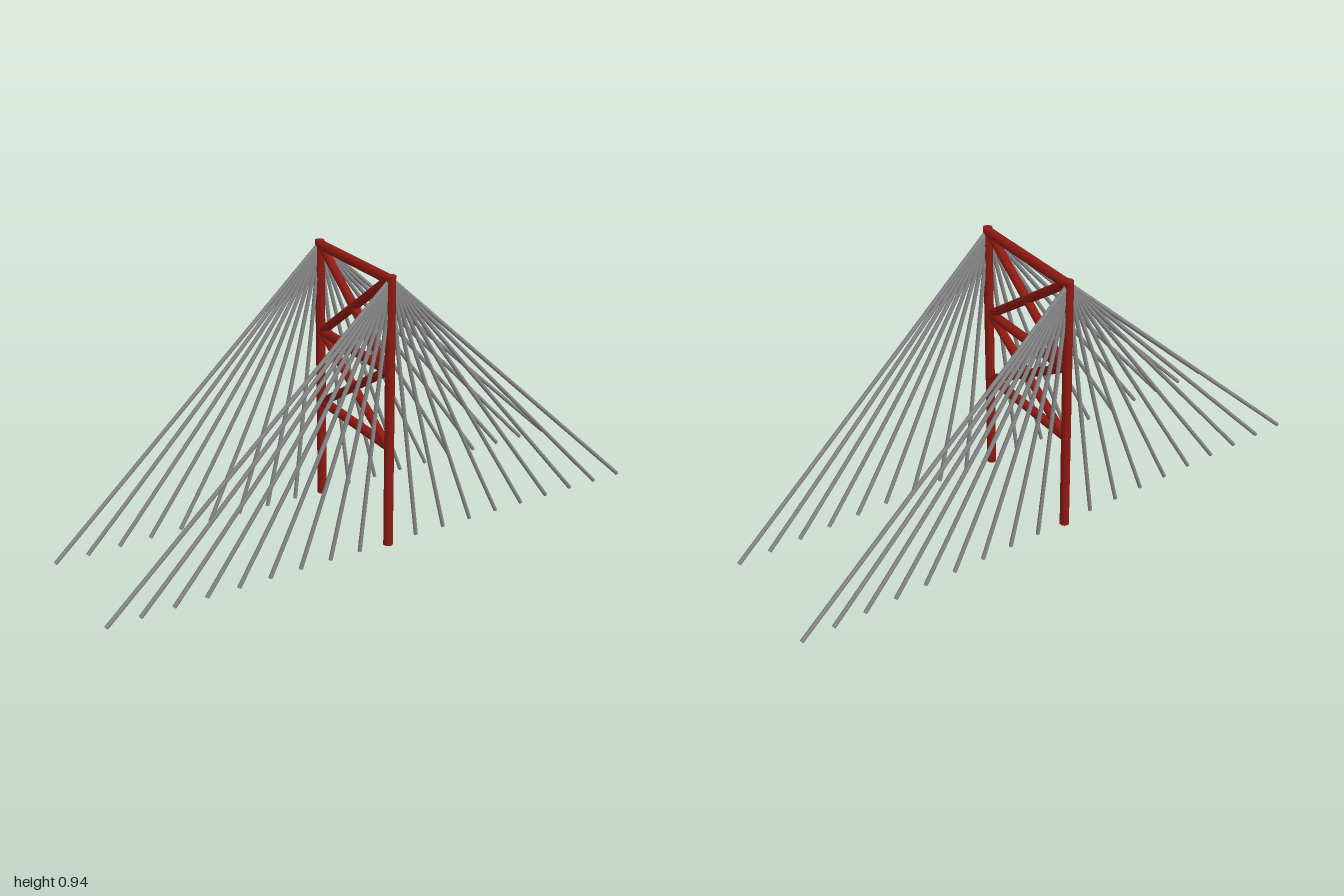
import * as THREE from 'three';

const HALF = 0.219;                     // post distance from the centre line
const TOP = 0.935;                      // post height
const BEAMS = [0.357, 0.617, 0.92];     // cross beam heights
const R = 0.0165;                       // post and beam radius
const CABLE_R = 0.007;
const CABLES = 9;                       // cables per fan

const red = new THREE.MeshStandardMaterial({ color: 0x8e1a12 });
const steel = new THREE.MeshStandardMaterial({ color: 0x8a8a8a });
const UP = new THREE.Vector3(0, 1, 0);

// Round bar between two points
function bar(name, a, b, radius, sides, material) {
  const dir = new THREE.Vector3().subVectors(b, a);
  const mesh = new THREE.Mesh(new THREE.CylinderGeometry(radius, radius, dir.length(), sides), material);
  mesh.name = name;
  mesh.position.addVectors(a, b).multiplyScalar(0.5);
  mesh.quaternion.setFromUnitVectors(UP, dir.normalize());
  return mesh;
}

const v = (x, y, z) => new THREE.Vector3(x, y, z);

export function createModel() {
  const model = new THREE.Group();
  model.name = 'cableStayedTower';
  const tower = new THREE.Group();
  tower.name = 'tower';
  model.add(tower);

  // Posts, with a fan of stay cables to each side
  for (const side of [1, -1]) {
    const z = side * HALF;
    tower.add(bar(side > 0 ? 'frontPost' : 'backPost', v(0, 0, z), v(0, TOP, z), R, 10, red));

    const fan = new THREE.Group();
    fan.name = side > 0 ? 'frontCables' : 'backCables';
    for (const dir of [1, -1]) {
      for (let i = 1; i <= CABLES; i++) {
        const x = dir * 0.993 * i / CABLES;
        fan.add(bar('stayCable', v(x, 0.005, z), v(0, 0.925, z), CABLE_R, 8, steel));
      }
    }
    model.add(fan);
  }

  // Horizontal beams
  for (const y of BEAMS) {
    tower.add(bar('crossBeam', v(0, y, HALF), v(0, y, -HALF), R, 10, red));
  }

  // Crossed braces between neighbouring beams
  for (let i = 0; i < BEAMS.length - 1; i++) {
    for (const side of [1, -1]) {
      const z = side * 0.207;
      tower.add(bar('diagonalBrace', v(0, BEAMS[i], z), v(0, BEAMS[i + 1], -z), 0.015, 10, red));
    }
  }
  return model;
}
